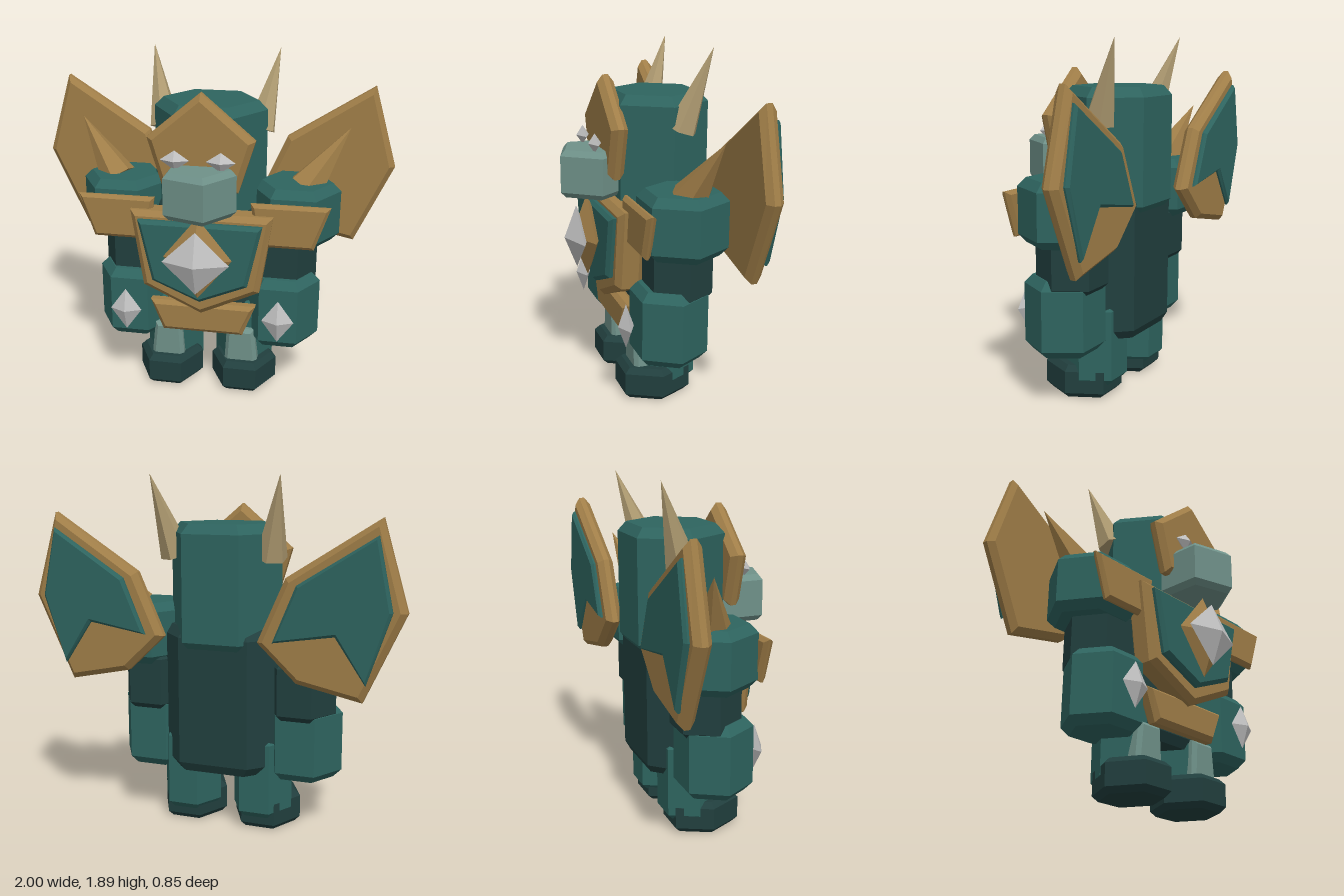
import * as THREE from 'three';

const mat = (name, color) => {
  const m = new THREE.MeshStandardMaterial({ color });
  m.name = name;
  return m;
};

export function createModel() {
  const root = new THREE.Group();
  root.name = 'armouredGolem';
  const teal = mat('teal', 0x2e645f);
  const dark = mat('darkTeal', 0x213f3e);
  const pale = mat('paleTeal', 0x6f9189);
  const gold = mat('gold', 0xa07e48);
  const horn = mat('horn', 0xb09c72);
  const silver = mat('silver', 0xc0c0c0);

  const add = (name, geo, material) => {
    const g = geo.index ? geo.toNonIndexed() : geo;
    g.computeVertexNormals();
    const mesh = new THREE.Mesh(g, material);
    mesh.name = name;
    root.add(mesh);
    return mesh;
  };

  // Upright chamfered prism with a corner on +x
  const prism = (name, material, [x, z], [y0, y1], rx, rz, bevel = 0.045, sides = 6) => {
    const k = 1 - bevel / rx;
    const profile = [[0, y0], [k, y0], [1, y0 + bevel], [1, y1 - bevel], [k, y1], [0, y1]]
      .map(p => new THREE.Vector2(...p));
    const geo = new THREE.LatheGeometry(profile, sides, Math.PI / 2);
    geo.scale(rx, 1, rz).translate(x, 0, z);
    return add(name, geo, material);
  };

  // Chamfered plate facing z, from z0 to z1
  const plate = (name, material, points, z0, z1, bevel = 0.025, side = 1) => {
    const shape = new THREE.Shape(points.map(([x, y]) => new THREE.Vector2(x * side, y)));
    const geo = new THREE.ExtrudeGeometry(shape, {
      depth: z1 - z0 - 2 * bevel, bevelEnabled: true, bevelSegments: 1,
      bevelSize: bevel, bevelThickness: bevel, bevelOffset: -bevel,
    });
    geo.translate(0, 0, z0 + bevel);
    return add(name, geo, material);
  };

  // Four-sided stretched gem
  const gem = (name, material, pos, size) => {
    const geo = new THREE.OctahedronGeometry(1, 0);
    geo.scale(...size).translate(...pos);
    return add(name, geo, material);
  };

  // Faceted spike from base to tip
  const spike = (name, material, base, tip, radius) => {
    const a = new THREE.Vector3(...base), d = new THREE.Vector3(...tip).sub(a);
    const h = d.length();
    const geo = new THREE.ConeGeometry(radius, h, 6);
    geo.translate(0, h / 2, 0);
    const mesh = add(name, geo, material);
    mesh.quaternion.setFromUnitVectors(new THREE.Vector3(0, 1, 0), d.normalize());
    mesh.position.copy(a);
  };

  // Body and head
  prism('torso', dark, [0, -0.14], [0.32, 1.1], 0.38, 0.225, 0.05);
  prism('head', teal, [0, -0.12], [0.98, 1.64], 0.31, 0.28, 0.05);
  prism('snout', pale, [0, 0.23], [1.1, 1.355], 0.2, 0.2, 0.03, 5);
  plate('browCrest', gold,
    [[0, 1.73], [-0.285, 1.49], [-0.2, 1.21], [0.2, 1.21], [0.285, 1.49]], 0.11, 0.2, 0.03);

  // Chest armour
  plate('breastplate', gold,
    [[-0.385, 1.085], [-0.32, 0.65], [0, 0.5], [0.32, 0.65], [0.385, 1.085]], 0.05, 0.2, 0.03);
  plate('breastInlay', teal,
    [[-0.335, 1.045], [-0.26, 0.7], [0, 0.59], [0.26, 0.7], [0.335, 1.045]], 0.17, 0.238, 0.02);
  gem('chestGemSetting', gold, [0, 0.865, 0.265], [0.185, 0.23, 0.09]);
  gem('chestGem', silver, [0, 0.86, 0.325], [0.18, 0.175, 0.068]);
  plate('waistPlate', gold,
    [[-0.295, 0.54], [-0.225, 0.36], [0.225, 0.36], [0.295, 0.54]], 0.06, 0.15);

  const wing = [[0.87, 1.69], [0.4, 1.39], [0.255, 1.06], [0.46, 0.865], [0.795, 0.795], [1, 1.245]];
  const wingInlay = [[0.86, 1.61], [0.465, 1.36], [0.345, 1.07], [0.66, 1.12], [0.815, 0.89], [0.935, 1.25]];

  for (const s of [1, -1]) {
    const side = s > 0 ? 'left' : 'right';
    const n = part => side + part;

    // Face studs and horns
    gem(n('Eye'), silver, [0.12 * s, 1.395, 0.25], [0.077, 0.052, 0.035]);
    spike(n('Horn'), horn, [0.265 * s, 1.47, -0.17], [0.35 * s, 1.89, -0.305], 0.085);

    // Arms
    prism(n('Shoulder'), teal, [0.48 * s, -0.1], [0.88, 1.21], 0.24, 0.236);
    spike(n('ShoulderSpike'), gold, [0.53 * s, 1.17, -0.115], [0.75 * s, 1.49, -0.205], 0.105);
    plate(n('ShoulderPlate'), gold,
      [[0.68, 1.145], [0.6, 0.905], [0.3, 0.905], [0.26, 1.145]], 0.1, 0.152, 0.02, s);
    prism(n('UpperArm'), dark, [0.42 * s, -0.1], [0.61, 0.95], 0.185, 0.185);
    prism(n('Forearm'), teal, [0.42 * s, -0.055], [0.29, 0.695], 0.212, 0.208);
    gem(n('ForearmStud'), silver, [0.425 * s, 0.49, 0.18], [0.088, 0.122, 0.043]);

    // Legs
    prism(n('Leg'), teal, [0.205 * s, -0.105], [0.07, 0.52], 0.165, 0.175, 0.035);
    prism(n('Boot'), dark, [0.215 * s, -0.038], [0, 0.18], 0.186, 0.212, 0.03);
    plate(n('ShinGuard'), pale,
      [[0.31, 0.12], [0.285, 0.37], [0.13, 0.37], [0.115, 0.12]], 0.0, 0.09, 0.02, s);

    // Back wings
    plate(n('Wing'), gold, wing, -0.4, -0.31, 0.03, s);
    plate(n('WingInlay'), teal, wingInlay, -0.425, -0.385, 0.015, s);
  }
  return root;
}
